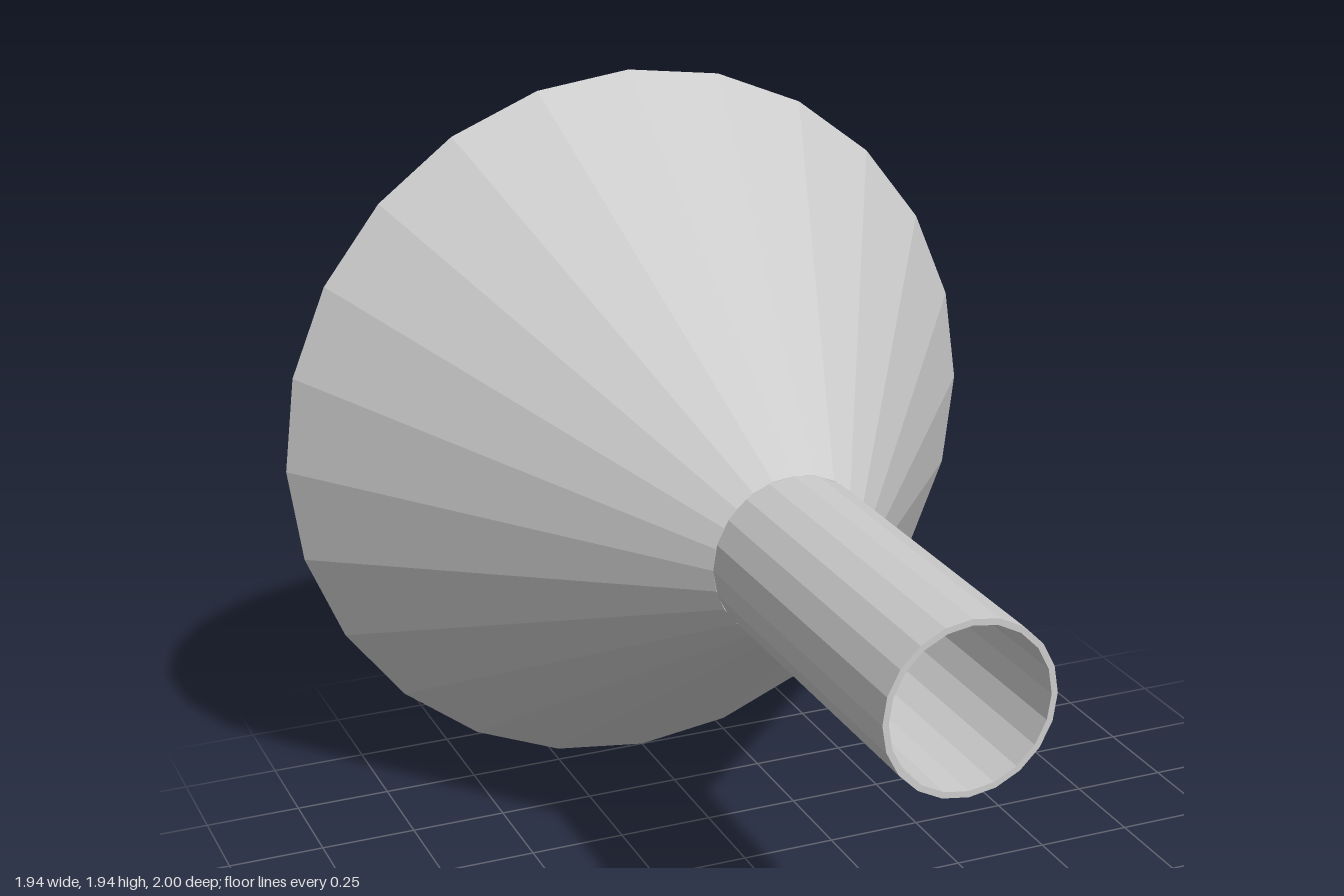
import * as THREE from 'three';

const CENTRE_Y = 0.97;   // height of the shared axis
const JOIN_Z = 0.065;    // where the tube meets the cone
const OUTER = 0.21, INNER = 0.195;

export function createModel() {
  const group = new THREE.Group();
  const material = new THREE.MeshStandardMaterial({ color: 0xcccccc, flatShading: true });

  // Turns a geometry made along y to lie along z, then places it
  const add = (name, geometry, z) => {
    const mesh = new THREE.Mesh(geometry.rotateX(Math.PI / 2), material);
    mesh.name = name;
    mesh.position.set(0, CENTRE_Y, z);
    group.add(mesh);
  };

  // Closed cone, wide end at the back
  const depth = JOIN_Z + 1;
  add('cone', new THREE.CylinderGeometry(OUTER, 0.97, depth, 24), JOIN_Z - depth / 2);

  // Hollow tube with a thin wall, open at the front
  const length = 1 - JOIN_Z;
  const wall = [[OUTER, 0], [OUTER, length], [INNER, length], [INNER, 0]]
    .map(([r, y]) => new THREE.Vector2(r, y));
  add('tube', new THREE.LatheGeometry(wall, 20), JOIN_Z);

  return group;
}
